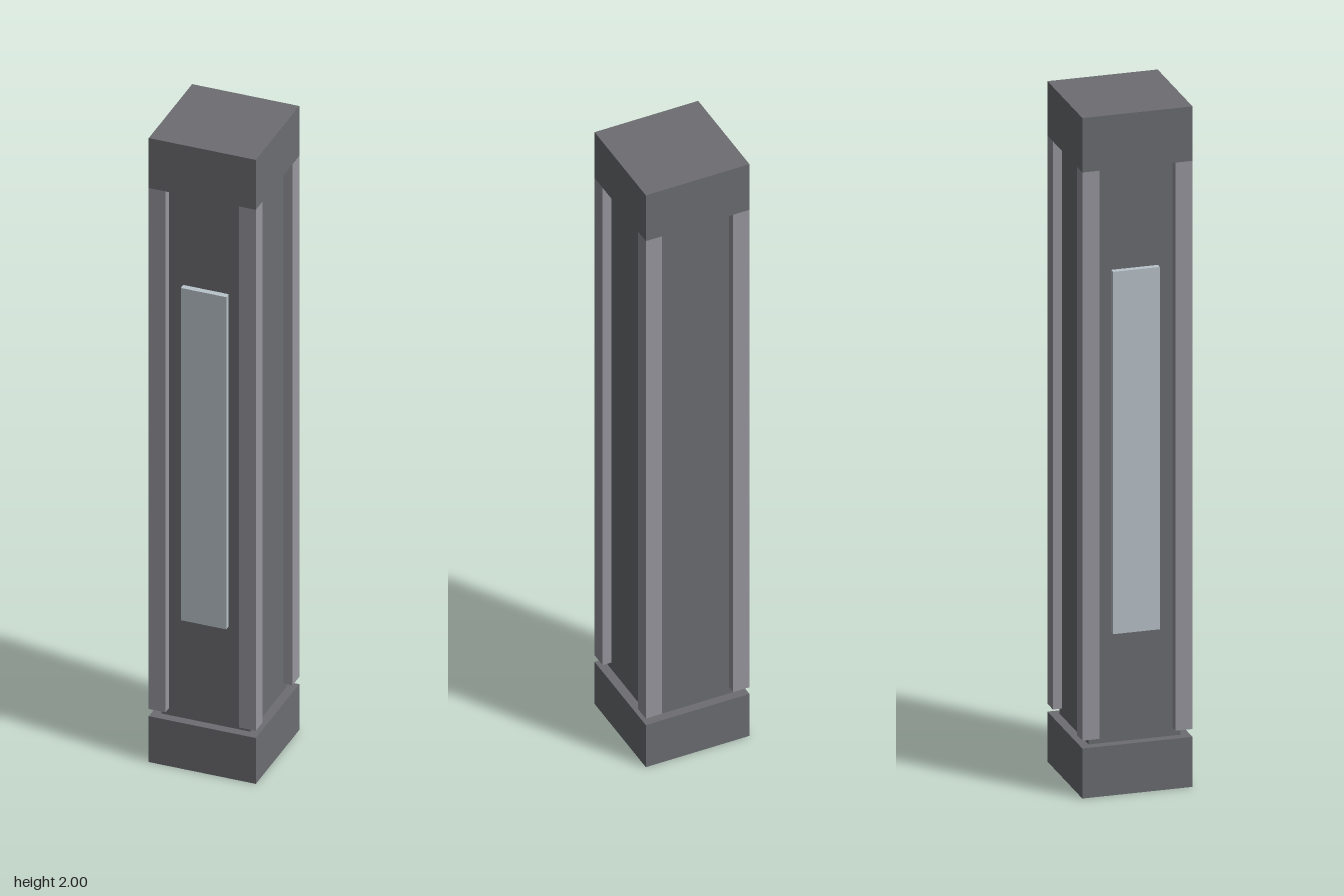
import * as THREE from 'three';

const darkGrey = new THREE.MeshStandardMaterial({ color: 0x6c6d72 });
darkGrey.name = 'dark grey';
const lightGrey = new THREE.MeshStandardMaterial({ color: 0x97979e });
lightGrey.name = 'light grey';
const paleGlass = new THREE.MeshStandardMaterial({ color: 0xb9c4cb });
paleGlass.name = 'pale glass';

export function createModel() {
  const model = new THREE.Group();
  model.name = 'pillar';

  // Box given by its size, bottom height and centre in plan
  const addBox = (name, material, w, h, d, x, y, z) => {
    const mesh = new THREE.Mesh(new THREE.BoxGeometry(w, h, d), material);
    mesh.name = name;
    mesh.position.set(x, y + h / 2, z);
    model.add(mesh);
  };

  // Base block, recessed core and cap block
  addBox('base', darkGrey, 0.32, 0.147, 0.32, 0, 0, 0);
  addBox('core', darkGrey, 0.266, 1.693, 0.266, 0, 0.147, 0);
  addBox('cap', darkGrey, 0.32, 0.16, 0.32, 0, 1.84, 0);

  // Square corner posts, stopping just above the base
  for (const x of [-1, 1]) {
    for (const z of [-1, 1]) {
      addBox('cornerPost', lightGrey, 0.05, 1.67, 0.05, x * 0.135, 0.17, z * 0.135);
    }
  }

  // Raised glass panels on the front and on the -x side
  addBox('frontPanel', paleGlass, 0.136, 1.065, 0.03, 0, 0.47, 0.136);
  addBox('sidePanel', paleGlass, 0.03, 1.065, 0.136, -0.136, 0.47, 0);

  return model;
}
